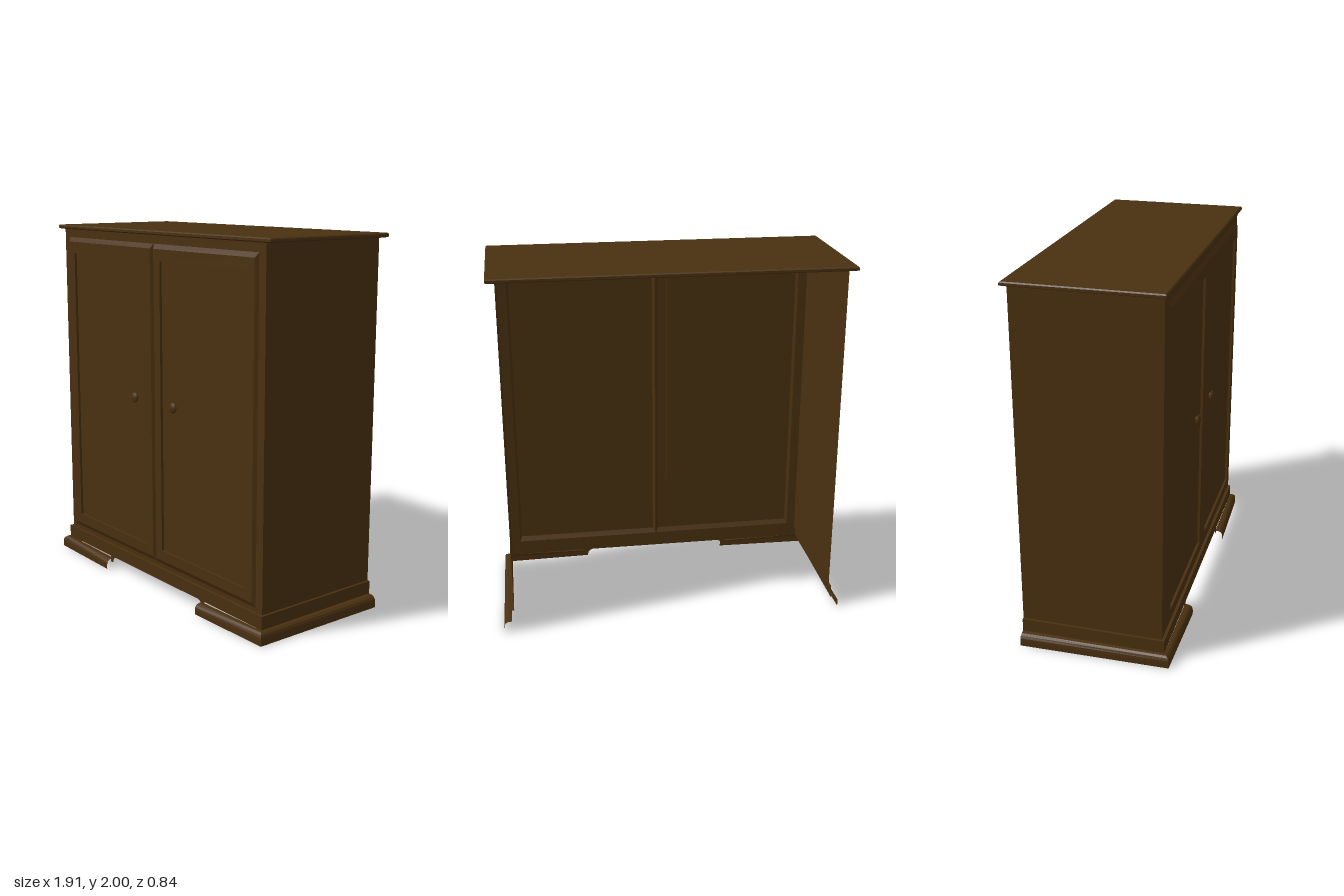
import * as THREE from 'three';

const wood = new THREE.MeshStandardMaterial({ color: 0x4a3010, side: THREE.DoubleSide });
wood.name = 'dark wood';

// Skin a surface through successive cross-sections (flat facets)
function loft(rows, closed) {
  const pos = [];
  for (let i = 0; i < rows.length - 1; i++) {
    const a = rows[i], b = rows[i + 1], n = a.length;
    for (let j = 0; j < (closed ? n : n - 1); j++) {
      const k = (j + 1) % n;
      pos.push(...a[j], ...a[k], ...b[k], ...a[j], ...b[k], ...b[j]);
    }
  }
  const g = new THREE.BufferGeometry();
  g.setAttribute('position', new THREE.Float32BufferAttribute(pos, 3));
  g.computeVertexNormals();
  return g;
}

const rectXY = (x0, x1, y0, y1, z) => [[x0, y0, z], [x1, y0, z], [x1, y1, z], [x0, y1, z]];
const rectXZ = (x, z0, z1, y) => [[-x, y, z1], [x, y, z1], [x, y, z0], [-x, y, z0]];

export function createModel() {
  const group = new THREE.Group();
  const add = (name, geometry) => {
    const mesh = new THREE.Mesh(geometry, wood);
    mesh.name = name;
    group.add(mesh);
    return mesh;
  };

  const W = 0.895, BACK = -0.4, FRONT = 0.36;
  const door = { x0: 0.003, x1: 0.845, y0: 0.16, y1: 1.93 };

  // Top board with eased edges
  const slab = [[0.0, 1.976], [0.93, 1.976], [0.943, 1.982], [0.943, 1.994], [0.937, 2], [0.0, 2]];
  add('topBoard', loft(slab.map(([x, y]) => x === 0
    ? rectXZ(0, -0.02, -0.02, y)
    : rectXZ(x, -0.42 + (0.943 - x), 0.378 - (0.943 - x), y)), true));

  // Side walls; the back and the bottom stay open
  for (const s of [-1, 1]) {
    add(s > 0 ? 'leftSide' : 'rightSide', loft([
      [[s * W, 0.135, BACK], [s * W, 0.135, FRONT]],
      [[s * W, 1.976, BACK], [s * W, 1.976, FRONT]],
    ]));
  }

  // Face frame with two door openings
  const face = new THREE.Shape([[-W, 0.135], [W, 0.135], [W, 1.976], [-W, 1.976]]
    .map(p => new THREE.Vector2(...p)));
  for (const s of [-1, 1]) {
    face.holes.push(new THREE.Path([[door.x0, door.y0], [door.x0, door.y1], [door.x1, door.y1], [door.x1, door.y0]]
      .map(([x, y]) => new THREE.Vector2(s * x, y))));
  }
  add('faceFrame', new THREE.ShapeGeometry(face)).position.z = FRONT;

  // Doors: bevelled raised frame, recessed panel and a round knob
  const knob = new THREE.LatheGeometry(
    [[0.018, 0], [0.018, 0.008], [0.028, 0.012], [0.029, 0.018], [0.022, 0.024], [0.01, 0.027], [0, 0.028]]
      .map(p => new THREE.Vector2(...p)), 20);
  knob.rotateX(Math.PI / 2);
  for (const s of [-1, 1]) {
    const side = s > 0 ? 'left' : 'right';
    const { x0, x1, y0, y1 } = door;
    add(side + 'DoorFrame', loft([
      rectXY(s * x0, s * x1, y0, y1, FRONT),
      rectXY(s * (x0 + 0.013), s * (x1 - 0.014), y0 + 0.027, y1 - 0.025, 0.376),
      rectXY(s * 0.07, s * 0.775, 0.245, 1.842, 0.376),
      rectXY(s * 0.07, s * 0.775, 0.245, 1.842, 0.362),
    ], true));
    const panel = add(side + 'DoorPanel', new THREE.PlaneGeometry(0.705, 1.597));
    panel.position.set(s * 0.4225, 1.0435, 0.362);
    add(side + 'Knob', knob).position.set(s * 0.178, 1.075, 0.36);
  }

  // Plinth band: a step out from the body on three sides
  const px = 0.91, pz = 0.376;
  const uPath = (x, z, y) => [[-x, y, BACK], [-x, y, z], [x, y, z], [x, y, BACK]];
  add('plinth', loft([uPath(W, FRONT, 0.137), uPath(px, pz, 0.137), uPath(px, pz, 0.066)]));

  // Small rounded brackets at the ends of the front opening
  for (const s of [-1, 1]) {
    const b = new THREE.Shape();
    b.moveTo(s * 0.45, 0.068);
    b.lineTo(s * 0.385, 0.068);
    b.quadraticCurveTo(s * 0.425, 0.065, s * 0.428, 0.03);
    b.lineTo(s * 0.45, 0.03);
    add(s > 0 ? 'leftBracket' : 'rightBracket', new THREE.ShapeGeometry(b)).position.z = pz;
  }

  // Foot mouldings: rounded profile along each side and round the corner
  const profile = [[0, 0.066], [0.022, 0.064], [0.036, 0.056], [0.043, 0.044], [0.045, 0.03], [0.045, 0]];
  for (const s of [-1, 1]) {
    add(s > 0 ? 'leftFoot' : 'rightFoot', loft(profile.map(([o, y]) => [
      [s * (px + o), y, BACK],
      [s * (px + o * 0.72), y, pz + o * 0.72],
      [s * 0.425, y * 0.88, pz + o],
    ])));
  }

  return group;
}
